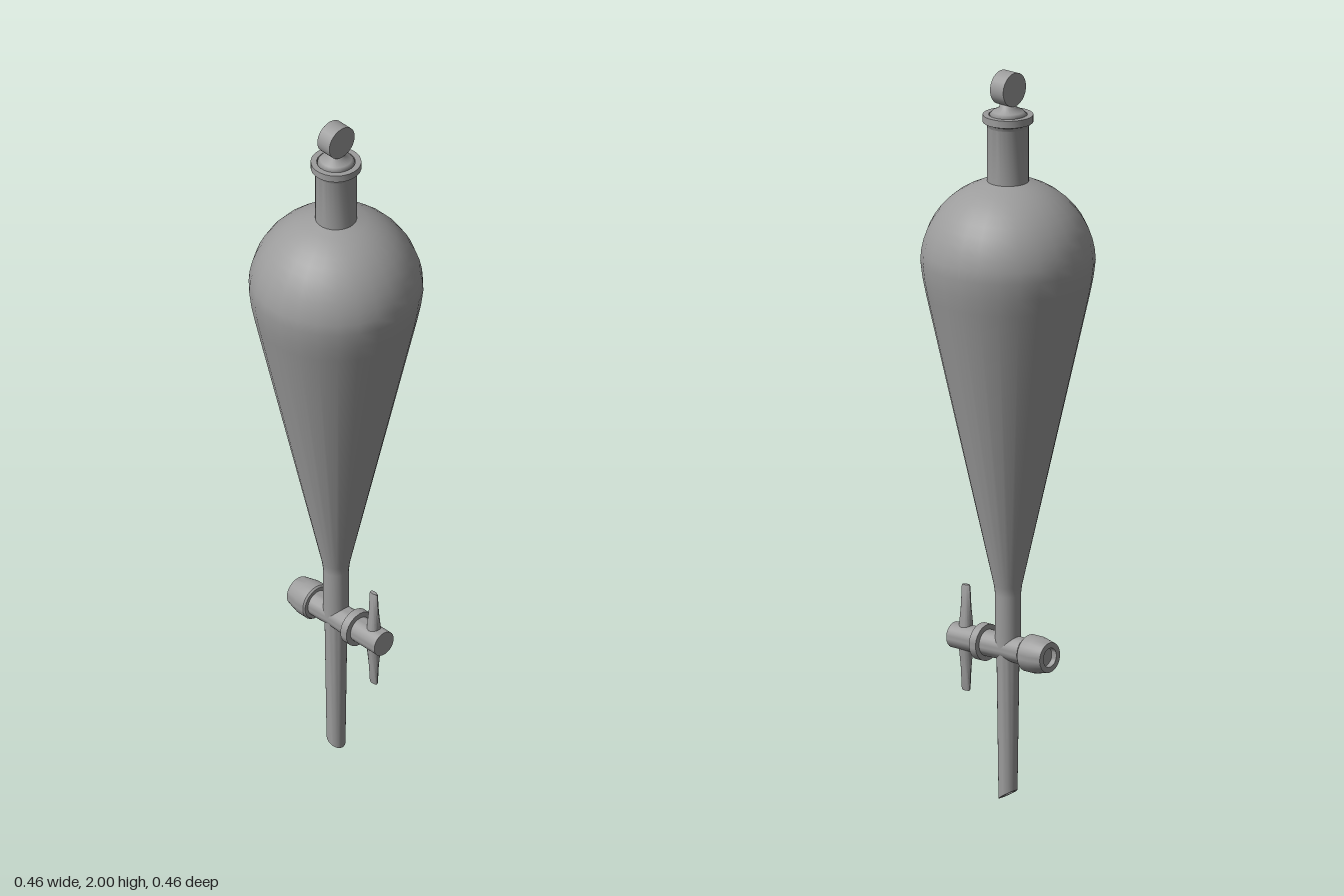
import * as THREE from 'three';
import { toCreasedNormals } from 'three/addons/utils/BufferGeometryUtils.js';

const SEGMENTS = 26;
const material = new THREE.MeshStandardMaterial({ color: 0x9c9c9c, side: THREE.DoubleSide });

// Revolve [radius, height] pairs listed from bottom to top
function turned(points, segments = SEGMENTS) {
  return new THREE.LatheGeometry(points.map(([r, y]) => new THREE.Vector2(r, y)), segments);
}

function addPart(parent, name, geometry, y = 0, z = 0) {
  const mesh = new THREE.Mesh(geometry, material);
  mesh.name = name;
  mesh.position.set(0, y, z);
  parent.add(mesh);
}

const creased = (geometry) => toCreasedNormals(geometry, 0.5);

export function createModel() {
  const model = new THREE.Group();
  model.name = 'separatingFunnel';

  // Pear-shaped bulb: long cone running into a round shoulder, smooth throughout
  const bulb = [[0.034, 0.419], [0.034, 0.565], [0.037, 0.59], [0.216, 1.39], [0.225, 1.435]];
  for (let i = 0; i <= 10; i++) {
    const a = 0.01 + (i / 10) * 1.33;
    bulb.push([0.231 * Math.cos(a), 1.48 + 0.227 * Math.sin(a)]);
  }
  addPart(model, 'bulb', turned(bulb));

  // Neck with a flat rim and open bore
  addPart(model, 'neck', creased(turned([
    [0.055, 1.69], [0.055, 1.85], [0.06, 1.86], [0.067, 1.863], [0.067, 1.883],
    [0.051, 1.883], [0.045, 1.75],
  ])));

  // Stopper: ground plug, sloped cap and stem, with an upright disc grip
  const stopper = new THREE.Group();
  stopper.name = 'stopper';
  model.add(stopper);
  addPart(stopper, 'plug', turned([
    [0, 1.76], [0.044, 1.76], [0.049, 1.884], [0.042, 1.892], [0.023, 1.902], [0.02, 1.925], [0, 1.925],
  ]));
  const disc = new THREE.CylinderGeometry(0.046, 0.046, 0.046, SEGMENTS).rotateX(Math.PI / 2);
  addPart(stopper, 'grip', disc, 1.954);

  // Outlet tube, open below, with its tip cut at a slant
  const outlet = turned([
    [0, 0.3], [0.017, 0.3], [0.017, 0.016], [0.025, 0.016], [0.03, 0.38], [0.03, 0.419],
  ]);
  const p = outlet.attributes.position;
  for (let i = 0; i < p.count; i++) {
    if (p.getY(i) < 0.1) p.setY(i, p.getY(i) - 0.62 * p.getZ(i));
  }
  addPart(model, 'outletTube', creased(outlet));

  // Stopcock lying front to back
  const stopcock = new THREE.Group();
  stopcock.name = 'stopcock';
  stopcock.position.y = 0.419;
  model.add(stopcock);
  const along = (name, points) => addPart(stopcock, name, creased(turned(points).rotateX(Math.PI / 2)));
  along('barrel', [[0.036, -0.075], [0.036, -0.04], [0.034, 0], [0.036, 0.04], [0.036, 0.075]]);
  along('collar', [[0, 0.07], [0.05, 0.07], [0.05, 0.093], [0, 0.093]]);
  along('key', [[0.035, 0.09], [0.035, 0.185], [0, 0.185]]);
  along('retainingNut', [
    [0, -0.13], [0.026, -0.13], [0.026, -0.146], [0.041, -0.146],
    [0.05, -0.105], [0.05, -0.075], [0.046, -0.07], [0, -0.07],
  ]);

  // Two mirrored tapering wings of the tap handle
  for (const side of [1, -1]) {
    const wing = turned([
      [0.021, 0], [0.02, 0.03], [0.016, 0.085], [0.014, 0.14], [0.012, 0.145], [0, 0.146],
    ], 16);
    const w = wing.attributes.position;
    for (let i = 0; i < w.count; i++) {
      w.setX(i, w.getX(i) * (1 - 3.6 * w.getY(i)));
    }
    if (side < 0) wing.rotateZ(Math.PI);
    addPart(stopcock, side > 0 ? 'upperWing' : 'lowerWing', creased(wing), 0, 0.146);
  }

  return model;
}
